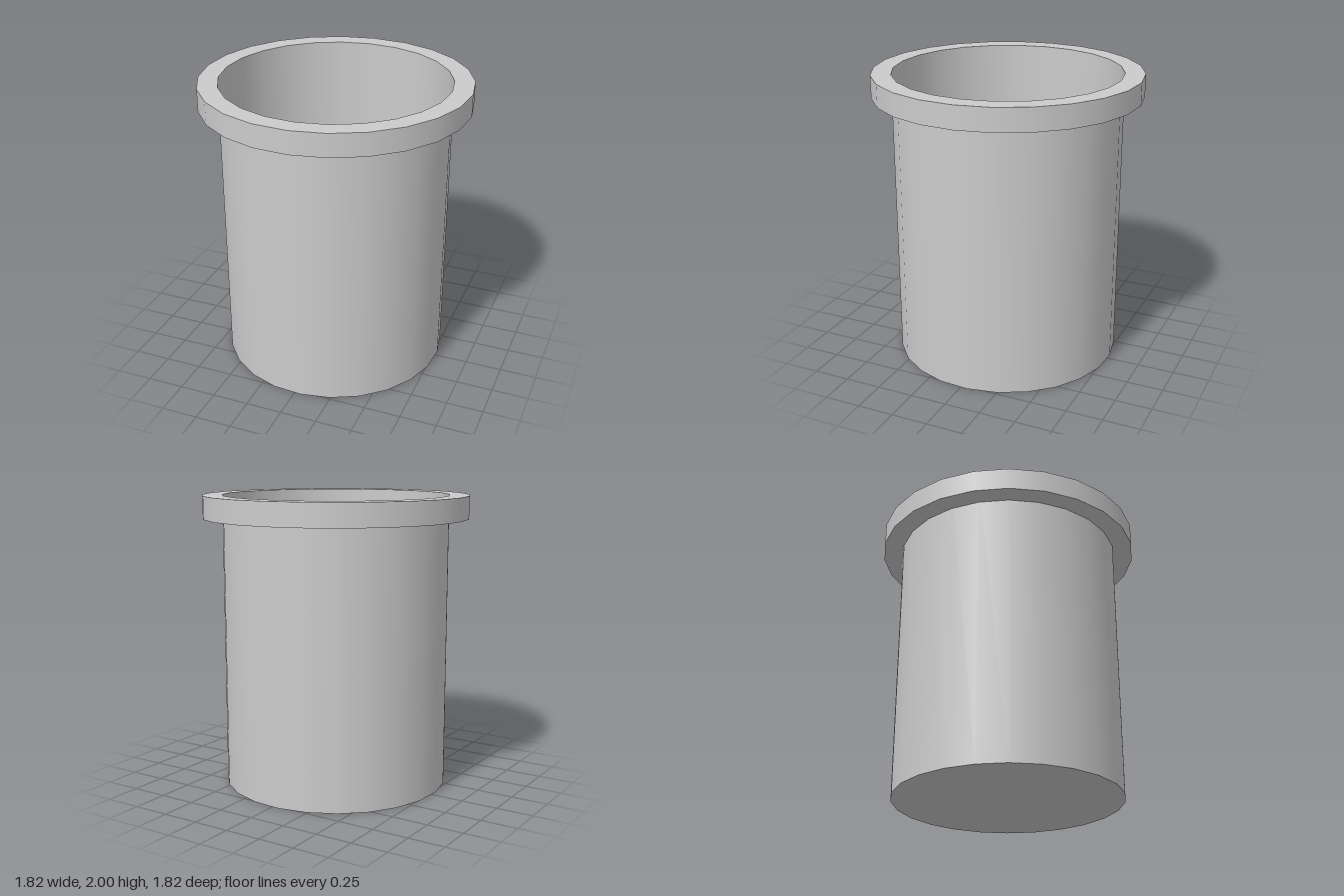
import * as THREE from 'three';

const SIDES = 24;
const TURN = THREE.MathUtils.degToRad(3.5);
const BODY_R = 0.775, FLANGE_R = 0.91;
const FLANGE_Y = 1.845, TOP_Y = 2;

const material = new THREE.MeshStandardMaterial({ color: 0xcccccc, side: THREE.DoubleSide });

// One revolved band from (r1, y1) to (r2, y2); separate bands keep the edges sharp
function band(name, r1, y1, r2, y2) {
  const profile = [new THREE.Vector2(r1, y1), new THREE.Vector2(r2, y2)];
  const mesh = new THREE.Mesh(new THREE.LatheGeometry(profile, SIDES, TURN), material);
  mesh.name = name;
  return mesh;
}

export function createModel() {
  const model = new THREE.Group();
  model.name = 'flangedCup';

  // Thin-walled cup, closed below and open above
  const body = new THREE.Group();
  body.name = 'body';
  body.add(
    band('floor', 0, 0, BODY_R, 0),
    band('wall', BODY_R, 0, BODY_R, TOP_Y)
  );

  // Collar around the mouth
  const flange = new THREE.Group();
  flange.name = 'flange';
  flange.add(
    band('flangeUnderside', BODY_R, FLANGE_Y, FLANGE_R, FLANGE_Y),
    band('flangeEdge', FLANGE_R, FLANGE_Y, FLANGE_R, TOP_Y),
    band('flangeTop', FLANGE_R, TOP_Y, BODY_R, TOP_Y)
  );

  model.add(body, flange);
  return model;
}
